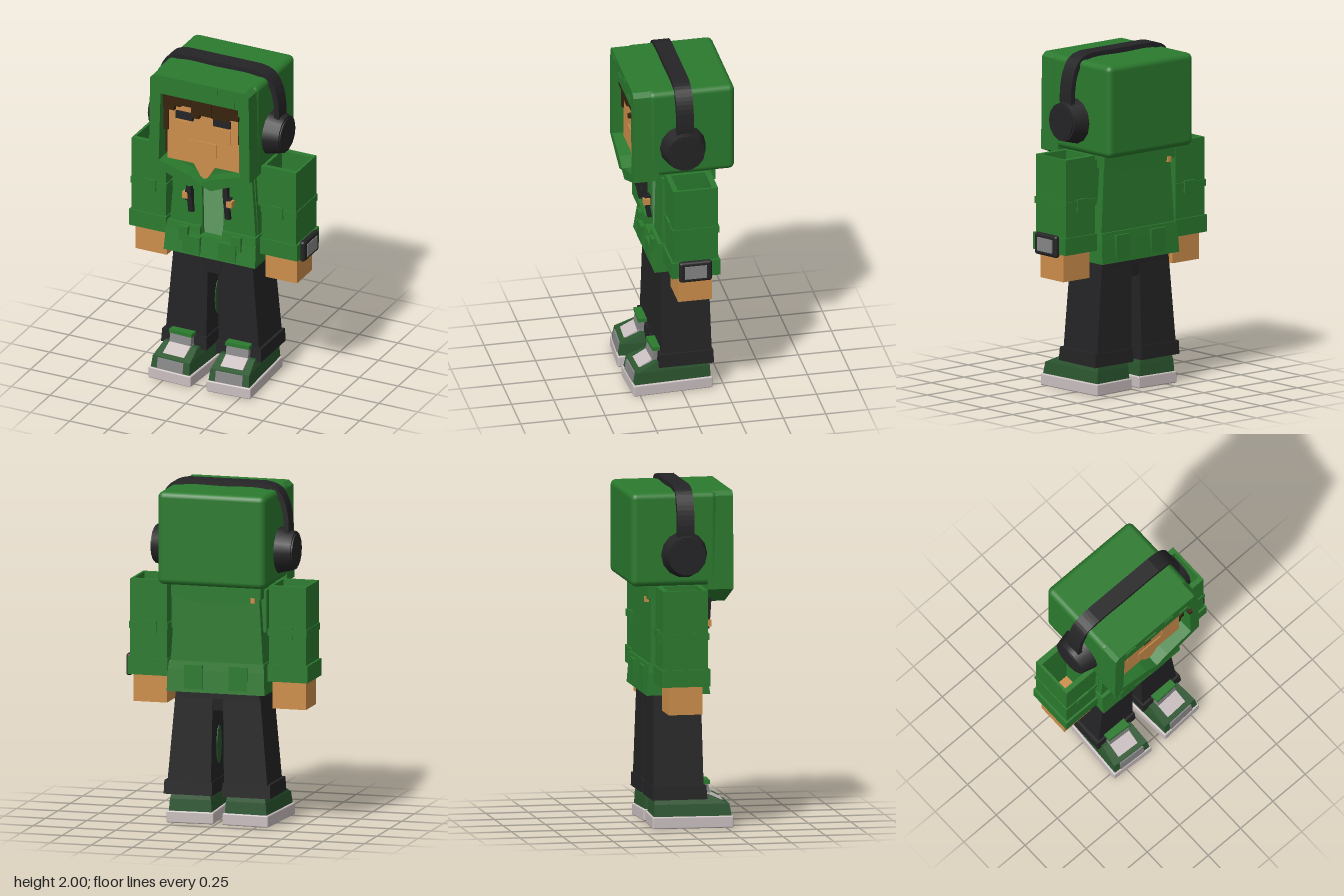
import * as THREE from 'three';
import { RoundedBoxGeometry } from 'three/addons/geometries/RoundedBoxGeometry.js';

const mat = (name, color) => {
  const m = new THREE.MeshStandardMaterial({ color });
  m.name = name;
  return m;
};

export function createModel() {
  const green = mat('hoodie green', 0x2b7a2e);
  const black = mat('black', 0x242426);
  const skin = mat('skin', 0xcd8f4b);
  const hair = mat('dark brown hair', 0x38230e);
  const shirt = mat('pale green shirt', 0x5f9a62);
  const shoeGreen = mat('dark shoe green', 0x2b562f);
  const grey = mat('grey', 0x868686);
  const soleMat = mat('off white', 0xcabfc0);

  const model = new THREE.Group();
  model.name = 'hoodedFigure';
  const body = new THREE.Group();
  body.name = 'body';
  body.position.x = -0.015;
  model.add(body);

  const add = (name, geo, material, parent = body) => {
    const m = new THREE.Mesh(geo, material);
    m.name = name;
    parent.add(m);
    return m;
  };
  // Box given by its limits on each axis
  const box = (name, material, [x0, x1], [y0, y1], [z0, z1], parent = body, r = 0) => {
    const s = [x1 - x0, y1 - y0, z1 - z0];
    const geo = r ? new RoundedBoxGeometry(...s, 3, r) : new THREE.BoxGeometry(...s);
    geo.translate((x0 + x1) / 2, (y0 + y1) / 2, (z0 + z1) / 2);
    return add(name, geo, material, parent);
  };
  // Box whose bottom and top rectangles differ: [x0, x1, z0, z1]
  const taper = (name, material, y0, y1, bottom, top, parent = body) => {
    const geo = new THREE.BoxGeometry(1, 1, 1);
    const p = geo.attributes.position;
    for (let i = 0; i < p.count; i++) {
      const up = p.getY(i) > 0, r = up ? top : bottom;
      p.setXYZ(i, p.getX(i) < 0 ? r[0] : r[1], up ? y1 : y0, p.getZ(i) < 0 ? r[2] : r[3]);
    }
    geo.computeVertexNormals();
    return add(name, geo, material, parent);
  };
  const poly = (pts) => new THREE.Shape(pts.map((p) => new THREE.Vector2(...p)));
  const extrude = (shape, depth, bevel = 0) => new THREE.ExtrudeGeometry(shape, {
    depth, bevelEnabled: bevel > 0, bevelSize: bevel, bevelThickness: bevel, bevelOffset: -bevel, bevelSegments: 2,
  });
  // Upright rectangular sleeve, open at both ends
  const sleeveTube = (name, parent, y0, y1, [x0, x1, z0, z1], [a, b, c, d]) => {
    const s = poly([[x0, -z0], [x0, -z1], [x1, -z1], [x1, -z0]]);
    s.holes.push(poly([[a, -c], [b, -c], [b, -d], [a, -d]]));
    const geo = extrude(s, y1 - y0);
    geo.rotateX(-Math.PI / 2);
    geo.translate(0, y0, 0);
    return add(name, geo, green, parent);
  };

  // Hood: solid back, framed front with a pointed lower lip
  box('hoodBack', green, [-0.325, 0.325], [1.42, 1.965], [-0.31, 0.2], body, 0.035);
  const frame = poly([[-0.29, 1.965], [-0.318, 1.94], [-0.325, 1.395], [-0.07, 1.29], [0, 1.315],
    [0.07, 1.29], [0.325, 1.395], [0.318, 1.94], [0.29, 1.965]]);
  frame.holes.push(poly([[-0.25, 1.85], [0.25, 1.85], [0.262, 1.42], [0.08, 1.365], [0, 1.325],
    [-0.08, 1.365], [-0.262, 1.42]]));
  const rim = add('hoodFrame', extrude(frame, 0.15), green);
  rim.position.z = 0.14;
  const lip = extrude(poly([[-0.2, 1.43], [-0.2, 1.36], [-0.09, 1.33], [0.06, 1.42], [0.06, 1.43]]), 0.44);
  lip.rotateY(Math.PI / 2);
  lip.translate(-0.22, 0, 0);
  add('hoodUnderside', lip, green);
  for (const [x, y, w] of [[-0.2, 1.93, 0.07], [-0.05, 1.89, 0.08], [0.09, 1.93, 0.06], [0.2, 1.88, 0.06]])
    box('hoodStitch', green, [x - w / 2, x + w / 2], [y - 0.018, y + 0.018], [0.285, 0.296]);

  // Face, neck and hair
  box('face', skin, [-0.235, 0.225], [1.415, 1.8], [0.19, 0.23]);
  add('neck', extrude(poly([[-0.08, 1.43], [0, 1.3], [0.08, 1.43]]), 0.035), skin).position.z = 0.19;
  box('hairBack', hair, [-0.26, 0.26], [1.44, 1.86], [0.18, 0.207]);
  for (const [x0, x1, y0] of [[-0.25, -0.18, 1.74], [-0.18, -0.14, 1.77], [-0.14, -0.07, 1.785],
    [-0.07, -0.02, 1.72], [-0.02, 0.06, 1.745], [0.06, 0.17, 1.74], [0.17, 0.25, 1.76]])
    box('hairFringe', hair, [x0, x1], [y0, 1.86], [0.19, 0.255 + (y0 * 100 % 3) * 0.004]);
  box('hairTuft', hair, [0.235, 0.26], [1.785, 1.81], [0.24, 0.308]);
  for (const s of [-1, 1]) {
    const at = (a, b) => (s > 0 ? [a, b] : [-b, -a]);
    box('sideburn', hair, at(0.225, 0.255), [1.6, 1.8], [0.19, 0.24]);
    box('brow', black, at(0.065, 0.175), [1.69, 1.735], [0.225, 0.245]);
    box('eyePlate', skin, at(0.085, 0.175), [1.585, 1.675], [0.229, 0.236]);
  }
  box('mouthPlate', skin, [-0.09, 0.08], [1.475, 1.565], [0.229, 0.236]);

  // Headphone band, a flat strip bent over the hood
  const curve = new THREE.CatmullRomCurve3([[-0.375, 1.66], [-0.377, 1.78], [-0.355, 1.89], [-0.31, 1.96], [-0.23, 1.985],
    [0, 1.985], [0.23, 1.985], [0.31, 1.96], [0.355, 1.89], [0.377, 1.78], [0.375, 1.66]].map(([x, y]) => new THREE.Vector3(x, y, 0)));
  const mid = curve.getPoints(40);
  const side = (k) => mid.map((p, i) => {
    const t = curve.getTangent(i / 40);
    return [p.x - t.y * k, Math.min(2, p.y + t.x * k)];
  });
  add('headphoneBand', extrude(poly([...side(0.015), ...side(-0.015).reverse()]), 0.1), black).position.z = -0.052;

  // Torso and open jacket
  taper('jacketBody', green, 0.85, 1.4, [-0.285, 0.285, -0.19, 0.085], [-0.25, 0.25, -0.18, 0.08]);
  box('shirt', shirt, [-0.075, 0.075], [0.9, 1.36], [0.08, 0.093]);
  box('jacketYoke', green, [-0.27, 0.27], [1.34, 1.425], [-0.205, 0.09]);
  add('yokeDroop', extrude(poly([[-0.27, 1.345], [-0.12, 1.305], [0.12, 1.305], [0.27, 1.345]]), 0.03), green).position.z = -0.205;
  box('backBead', skin, [-0.235, -0.21], [1.32, 1.35], [-0.215, -0.19]);
  taper('hem', green, 0.78, 0.91, [-0.295, 0.295, -0.215, 0.16], [-0.29, 0.29, -0.205, 0.14]);
  taper('hemBack', green, 0.91, 0.96, [-0.29, 0.29, -0.205, 0.08], [-0.285, 0.285, -0.2, 0.08]);

  const wrap = (name, s) => {
    const g = new THREE.Group();
    g.name = name;
    body.add(g);
    g.userData.side = s;
    return g;
  };
  for (const s of [-1, 1]) {
    const at = (a, b) => (s > 0 ? [a, b] : [-b, -a]);
    const rect = (a, b, z0, z1) => [...at(a, b), z0, z1];
    const label = s > 0 ? 'left' : 'right';

    // Ear cups
    const cup = new THREE.CylinderGeometry(0.112, 0.137, 0.1, 14);
    cup.rotateZ(-s * Math.PI / 2);
    cup.translate(s * 0.37, 1.605, 0);
    add(label + 'EarCup', cup, black);
    const pad = new THREE.CylinderGeometry(0.1, 0.1, 0.012, 14);
    pad.rotateZ(Math.PI / 2);
    pad.translate(s * 0.421, 1.605, 0);
    add(label + 'EarCap', pad, black);

    // Jacket front panels, hem pieces and shoulder plates
    taper(label + 'Lapel', green, 0.9, 1.36, rect(0.065, 0.28, 0.07, 0.115), rect(0.075, 0.245, 0.07, 0.105));
    taper(label + 'HemFront', green, 0.91, 0.96, rect(0.07, 0.29, 0.07, 0.14), rect(0.07, 0.285, 0.07, 0.135));
    box(label + 'HemPatch', green, at(0.06, 0.17), [0.79, 0.9], [0.1, 0.165]);
    box(label + 'HemTab', green, at(0.14, 0.2), [0.86, 0.95], [0.1, 0.158]);
    box(label + 'BackPatch', green, at(0.08, 0.19), [0.8, 0.94], [-0.217, -0.15]);
    box(label + 'ShoulderPlate', green, at(0.24, 0.287), [1.14, 1.39], [-0.14, 0.06]);

    // Drawstrings with beads
    const string = extrude(poly([[-0.2, 1.32], [-0.192, 1.2], [-0.165, 1.06], [-0.14, 1.06], [-0.165, 1.2], [-0.17, 1.32]]), 0.03);
    string.rotateY(Math.PI / 2);
    string.translate(s * 0.118 - 0.015, 0, 0);
    add(label + 'Drawstring', string, black);
    box(label + 'StringKnot', black, at(0.103, 0.145), [1.14, 1.205], [0.15, 0.185]);
    box(label + 'Bead', skin, at(0.125, 0.16), [1.155, 1.192], [0.155, 0.195]);

    // Arm: hollow sleeve, fold, cuff and hand
    const arm = wrap(label + 'Arm', s);
    const hole = rect(0.325, 0.515, -0.13, 0.07);
    sleeveTube('sleeve', arm, 0.9, 1.42, rect(0.308, 0.53, -0.165, 0.1), hole);
    sleeveTube('sleeveFold', arm, 1.13, 1.17, rect(0.302, 0.535, -0.172, 0.106), hole);
    box('foldPatch', green, at(0.37, 0.45), [1.11, 1.18], [0.09, 0.112], arm);
    box('foldPatchBack', green, at(0.37, 0.45), [1.11, 1.18], [-0.178, -0.16], arm);
    sleeveTube('cuff', arm, 0.86, 0.96, rect(0.302, 0.543, -0.175, 0.112), hole);
    box('hand', skin, at(0.318, 0.52), [0.695, 0.88], [-0.13, 0.07], arm);

    // Leg: trouser, turn-up and inner patch
    const leg = wrap(label + 'Leg', s);
    taper('trouser', black, 0.2, 0.82, rect(0.04, 0.305, -0.177, 0.12), rect(0.03, 0.25, -0.165, 0.112), leg);
    taper('turnUp', black, 0.17, 0.25, rect(0.03, 0.322, -0.185, 0.138), rect(0.032, 0.318, -0.183, 0.132), leg);
    const patch = new THREE.CylinderGeometry(0.06, 0.06, 0.008, 12);
    patch.rotateZ(Math.PI / 2);
    patch.scale(1, 1.9, 0.8);
    patch.translate(s * 0.035, 0.45, -0.03);
    add('innerPatch', patch, shoeGreen, leg);

    // Shoe, toes turned slightly out
    const shoe = wrap(label + 'Shoe', s);
    shoe.position.set(s * 0.178, 0, 0.06);
    shoe.rotation.y = s * 0.05;
    box('sole', soleMat, [-0.14, 0.14], [0, 0.07], [-0.235, 0.238], shoe, 0.008);
    taper('upper', shoeGreen, 0.07, 0.14, [-0.128, 0.128, -0.225, 0.228], [-0.122, 0.122, -0.222, 0.215], shoe);
    taper('instep', shoeGreen, 0.14, 0.19, [-0.122, 0.122, -0.222, 0.212], [-0.11, 0.11, -0.215, 0.1], shoe);
    taper('toeCap', grey, 0.072, 0.135, [-0.085, 0.085, 0.2, 0.234], [-0.085, 0.085, 0.2, 0.224], shoe);
    taper('laces', soleMat, 0.155, 0.2, [-0.07, 0.07, 0.05, 0.19], [-0.07, 0.07, 0.05, 0.105], shoe);
    taper('tongue', grey, 0.18, 0.255, [-0.07, 0.07, 0.03, 0.115], [-0.07, 0.07, 0.03, 0.1], shoe);
    box('tongueTop', green, [-0.075, 0.075], [0.25, 0.272], [0.03, 0.108], shoe);
  }

  // Hips
  box('hips', black, [-0.25, 0.25], [0.74, 0.86], [-0.168, 0.116]);
  taper('crotch', black, 0.67, 0.76, [-0.045, 0.045, -0.16, 0.118], [-0.07, 0.07, -0.168, 0.122]);

  // Wrist watch on the left arm
  box('watchCase', black, [0.535, 0.57], [0.84, 0.97], [-0.122, 0.072], body, 0.016);
  box('watchScreen', grey, [0.566, 0.575], [0.865, 0.945], [-0.09, 0.04]);
  return model;
}
